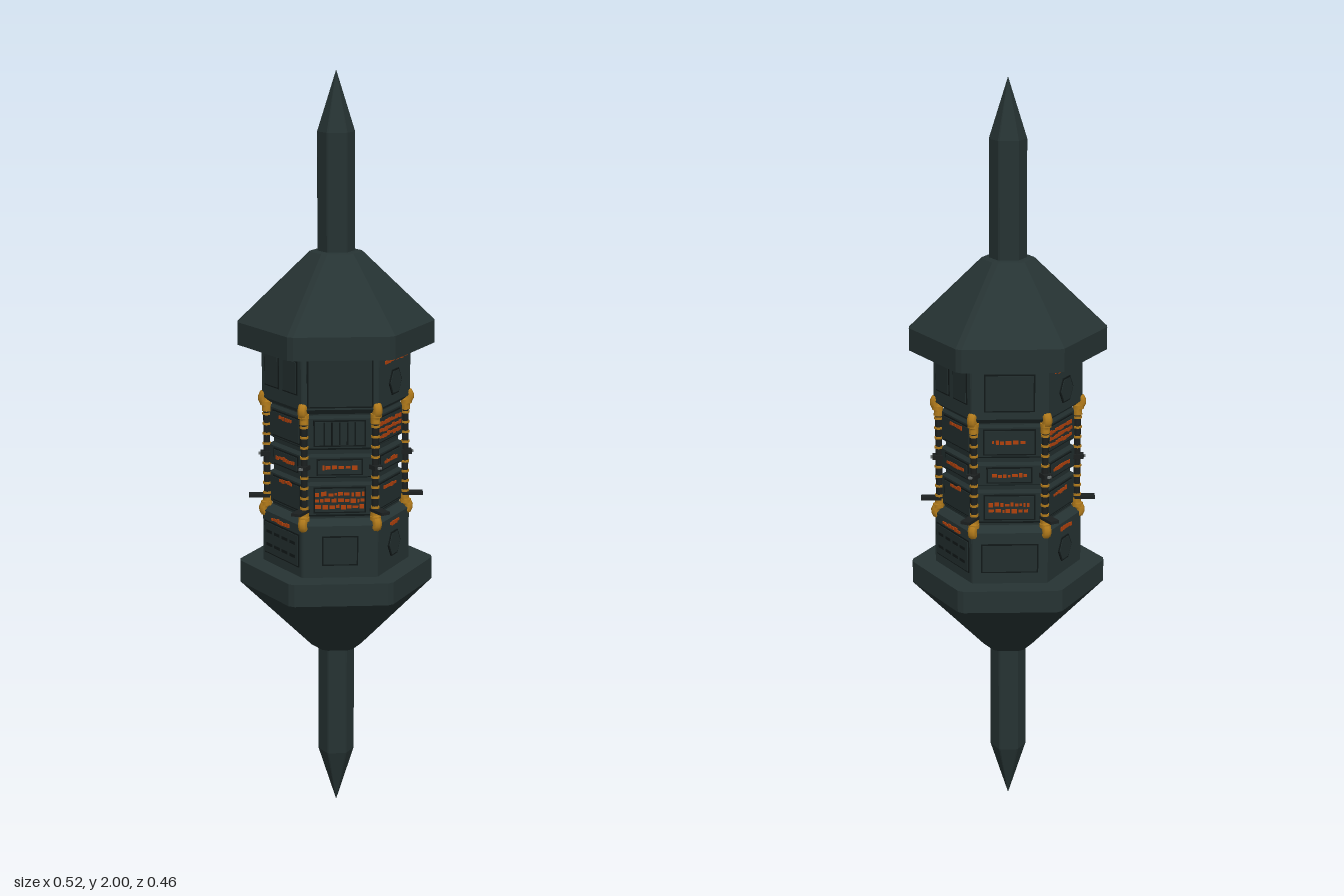
import * as THREE from 'three';
import { mergeGeometries } from 'three/addons/utils/BufferGeometryUtils.js';

const mat = (name, color, side = THREE.FrontSide) => {
  const m = new THREE.MeshStandardMaterial({ color, side });
  m.name = name;
  return m;
};

// Hexagonal loft with chamfered corners; rings are [radius, y], bottom to top
function hexLoft(rings, cut = 0.002) {
  const pos = [], idx = [], n = 12;
  for (const [r, y] of rings) {
    const c = Math.min(0.5, r > 0 ? cut / r : 0);
    for (let k = 0; k < 6; k++) {
      for (const s of [-1, 1]) {
        const a = k * Math.PI / 3, b = a + s * Math.PI / 3;
        pos.push(r * (Math.cos(a) * (1 - c) + Math.cos(b) * c), y, r * (Math.sin(a) * (1 - c) + Math.sin(b) * c));
      }
    }
  }
  for (let j = 0; j < rings.length - 1; j++) {
    for (let i = 0; i < n; i++) {
      const a = j * n + i, b = j * n + (i + 1) % n;
      if (rings[j][0] > 0) idx.push(a, a + n, b);
      if (rings[j + 1][0] > 0) idx.push(b, a + n, b + n);
    }
  }
  const g = new THREE.BufferGeometry();
  g.setAttribute('position', new THREE.Float32BufferAttribute(pos, 3));
  g.setIndex(idx);
  const flat = g.toNonIndexed();
  flat.computeVertexNormals();
  return flat;
}

const box = (w, h, d, x, y, z) => new THREE.BoxGeometry(w, h, d).translate(x, y, z);

export function createModel() {
  const hull = mat('hull dark slate', 0x263333);
  const panel = mat('panel slate', 0x222e2e);
  const seam = mat('seam black', 0x111818);
  const gold = mat('brass fittings', 0xb57d1c);
  const orange = mat('orange lights', 0xb0410c);
  const cable = mat('cable charcoal', 0x1c2020);
  const steel = mat('steel grey', 0x6a7070);

  const root = new THREE.Group();
  root.name = 'hexTower';
  const add = (parent, name, geo, m) => {
    const mesh = new THREE.Mesh(geo, m);
    mesh.name = name;
    parent.add(mesh);
    return mesh;
  };
  let seed = 7;
  const rnd = () => (seed = (seed * 16807) % 2147483647) / 2147483647;

  // Pointed shafts and sloping end caps, mirrored about y = 1
  for (const s of [1, -1]) {
    const rings = list => {
      const out = list.map(([r, h]) => [r, 1 + s * h]);
      return s > 0 ? out : out.reverse();
    };
    const side = s > 0 ? 'upper' : 'lower';
    add(root, side + 'Shaft', hexLoft(rings([[0.05, 0.5], [0.05, 0.845], [0, 1]]), 0.003), hull);
    add(root, side + 'Cap', hexLoft(rings([[0, 0.295], [0.263, 0.295], [0.263, 0.355], [0.073, 0.538], [0.062, 0.54], [0, 0.54]]), 0.01), hull);
    add(root, side + 'Block', hexLoft(rings([[0, 0.14], [0.176, 0.14], [0.197, 0.155], [0.197, 0.3]]), 0.003), hull);
  }

  // Ribbed core between the blocks
  add(root, 'core', hexLoft([
    [0.17, 0.85], [0.17, 0.865], [0.178, 0.872], [0.178, 0.95], [0.166, 0.957], [0.166, 0.968],
    [0.18, 0.974], [0.18, 1.026], [0.166, 1.032], [0.166, 1.043], [0.178, 1.05], [0.178, 1.128],
    [0.17, 1.135], [0.17, 1.15]]), panel);

  // Face details: local +z points out of the face
  const BLOCK = 0.1706, CORE = 0.1541, BELT = 0.1559;
  const plate = (g, x, y, z, w, h) => {
    add(g, 'panelSeam', box(w, h, 0.003, x, y, z + 0.0005), seam);
    add(g, 'panelPlate', box(w - 0.008, h - 0.008, 0.005, x, y, z + 0.0015), panel);
  };
  const hatch = (g, y) => {
    const disc = (r, d) => new THREE.CylinderGeometry(r, r, d, 6).toNonIndexed()
      .rotateY(Math.PI / 6).rotateX(Math.PI / 2).translate(0, y, BLOCK + 0.001);
    const outer = disc(0.038, 0.003), inner = disc(0.033, 0.006);
    for (const d of [outer, inner]) d.computeVertexNormals();
    add(g, 'hatchSeam', outer, seam);
    add(g, 'hatchPlate', inner, panel);
  };
  const slits = (g, y, z, count, w, h, step) => {
    const parts = [];
    for (let i = 0; i < count; i++) parts.push(box(w, h, 0.003, (i - (count - 1) / 2) * step, y, z + 0.004));
    add(g, 'ventSlits', mergeGeometries(parts), seam);
  };
  // Rows of short glowing bars
  const lights = (g, y, z, w, rows) => {
    const parts = [];
    for (let r = 0; r < rows; r++) {
      const ly = y + (r - (rows - 1) / 2) * 0.017;
      for (let x = -w / 2; x < w / 2 - 0.006;) {
        const len = Math.min(0.005 + rnd() * 0.011, w / 2 - x);
        parts.push(box(len, 0.006 + rnd() * 0.006, 0.003, x + len / 2, ly + (rnd() - 0.5) * 0.003, z + 0.005));
        x += len + 0.002 + rnd() * 0.003;
      }
    }
    add(g, 'indicatorLights', mergeGeometries(parts), orange);
  };

  for (let k = 0; k < 6; k++) {
    const g = new THREE.Group();
    g.name = 'towerFace' + k;
    g.rotation.y = k * Math.PI / 3;
    root.add(g);
    // Core panels on every face
    for (const y of [1.089, 0.911]) plate(g, 0, y, CORE, 0.136, 0.07);
    plate(g, 0, 1, BELT, 0.12, 0.044);
    lights(g, 1, BELT, k === 1 ? 0.075 : 0.09, 1);

    if (k === 0) {
      plate(g, 0, 1.225, BLOCK, 0.17, 0.13);
      slits(g, 1.089, CORE, 5, 0.004, 0.06, 0.02);
      lights(g, 0.911, CORE, 0.128, 3);
      plate(g, 0, 0.778, BLOCK, 0.095, 0.08);
    } else if (k === 1 || k === 4) {
      lights(g, 1.272, BLOCK, 0.14, 1);
      hatch(g, 1.21);
      lights(g, 1.089, CORE, 0.128, 3);
      lights(g, 0.93, CORE, 0.08, 1);
      lights(g, 0.832, BLOCK, 0.06, 1);
      hatch(g, 0.772);
    } else if (k === 2 || k === 5) {
      for (const x of [-0.045, 0.045]) plate(g, x, 1.235, BLOCK, 0.07, 0.09);
      lights(g, 1.11, CORE, 0.06, 1);
      lights(g, 0.94, CORE, 0.06, 1);
      lights(g, 0.832, BLOCK, 0.09, 1);
      plate(g, 0, 0.775, BLOCK, 0.17, 0.09);
      for (const y of [0.757, 0.793]) slits(g, y, BLOCK, 4, 0.026, 0.008, 0.038);
    } else {
      plate(g, 0, 1.225, BLOCK, 0.13, 0.1);
      lights(g, 1.089, CORE, 0.09, 1);
      lights(g, 0.911, CORE, 0.11, 2);
      plate(g, 0, 0.775, BLOCK, 0.15, 0.08);
    }
  }

  // Corner conduits: cable, brass rings, elbows and a small prong; local +x points out
  const cableGeo = new THREE.CylinderGeometry(0.009, 0.009, 0.27, 8).translate(0.184, 1, 0);
  const ringGeo = mergeGeometries([-4, -3, -2, -1, 0, 1, 2, 3, 4].map(i =>
    new THREE.CylinderGeometry(0.0115, 0.0115, 0.006, 8).translate(0.184, 1 + i * 0.027, 0)));
  const elbowGeos = [1, -1].map(s => new THREE.TubeGeometry(new THREE.CatmullRomCurve3(
    [[0.17, 0.163], [0.19, 0.162], [0.194, 0.148], [0.184, 0.132], [0.184, 0.115]]
      .map(([x, h]) => new THREE.Vector3(x, 1 + s * h, 0))), 10, 0.0125, 8));
  const collarGeo = mergeGeometries([1, -1].map(s =>
    new THREE.CylinderGeometry(0.015, 0.015, 0.01, 8).translate(0.186, 1 + s * 0.137, 0)));
  for (let k = 0; k < 6; k++) {
    const g = new THREE.Group();
    g.name = 'cornerConduit' + k;
    g.rotation.y = k * Math.PI / 3;
    root.add(g);
    add(g, 'cable', cableGeo, cable);
    add(g, 'cableRings', ringGeo, gold);
    for (const e of elbowGeos) add(g, 'elbow', e, gold);
    add(g, 'elbowCollars', collarGeo, gold);
    add(g, 'prong', box(0.055, 0.008, 0.026, 0.205, 0.885, 0), cable);
    add(g, 'clamp', box(0.03, 0.012, 0.024, 0.186, 1, 0), cable);
    add(g, 'clampBolt', box(0.006, 0.006, 0.01, 0.203, 1, 0), steel);
  }
  return root;
}
